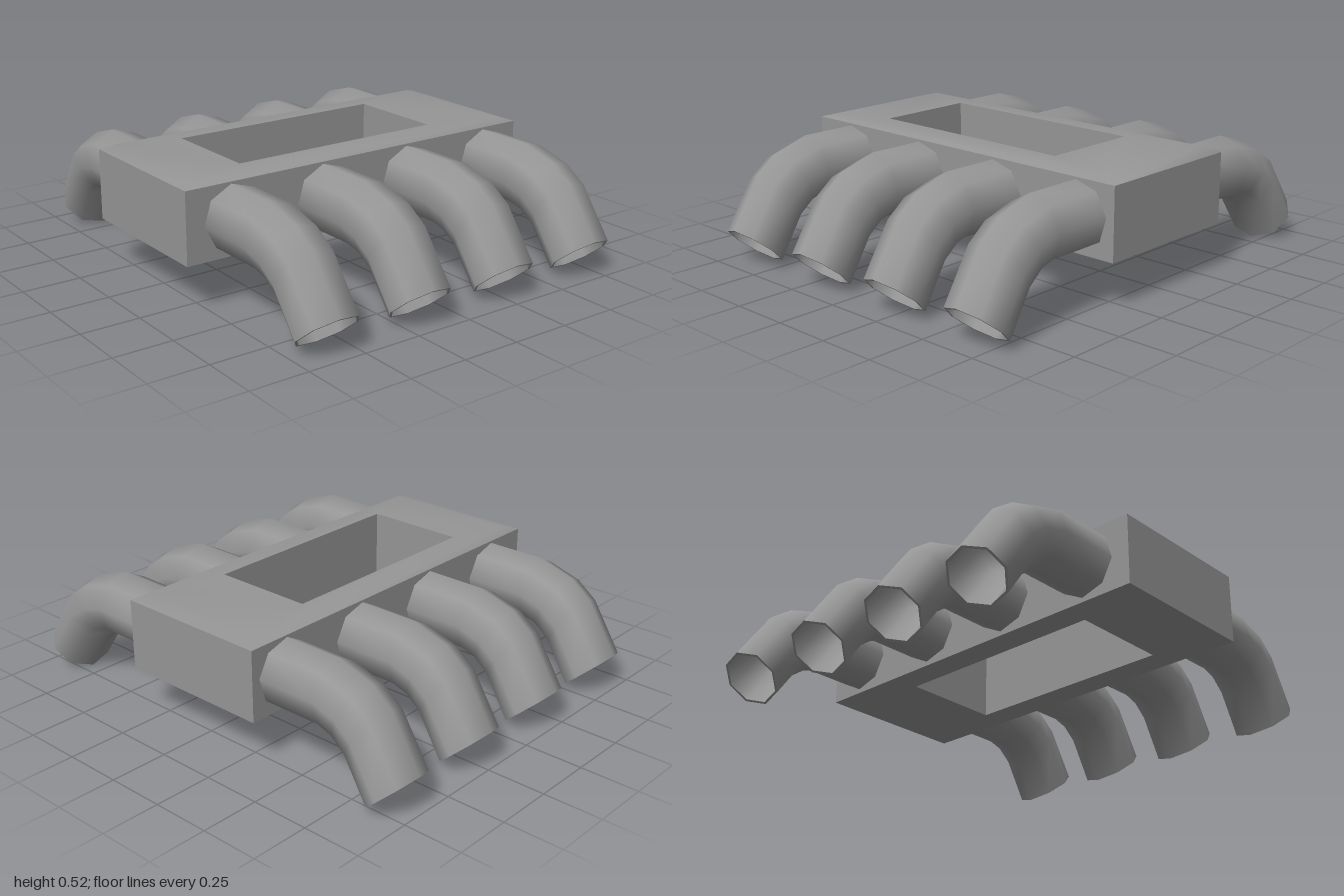
import * as THREE from 'three';
import { toCreasedNormals } from 'three/addons/utils/BufferGeometryUtils.js';

const material = new THREE.MeshStandardMaterial({ color: 0x969696 });

// Skin a sequence of equal-length closed rings of points
function loft(rings, crease) {
  const n = rings[0].length, index = [];
  for (let r = 0; r < rings.length - 1; r++) {
    for (let i = 0; i < n; i++) {
      const j = (i + 1) % n, a = r * n, b = a + n;
      index.push(a + i, a + j, b + j, a + i, b + j, b + i);
    }
  }
  const g = new THREE.BufferGeometry();
  g.setAttribute('position', new THREE.Float32BufferAttribute(rings.flat(2), 3));
  g.setIndex(index);
  return toCreasedNormals(g, crease);
}

const rect = (x0, x1, z, y) => [[x0, y, -z], [x0, y, z], [x1, y, z], [x1, y, -z]];

// Octagonal ring around a pipe station; the ring leans by `tilt` towards the ground
function pipeRing({ x, y, z, tilt, squash }, radius, side) {
  return Array.from({ length: 8 }, (_, i) => {
    const a = (i * Math.PI) / 4 + side * 0.1;
    const u = Math.cos(a) * radius, v = Math.sin(a) * radius * squash;
    return [side * x + u, y + v * Math.cos(tilt), z + v * Math.sin(tilt)];
  });
}

function runnerGeometry(side) {
  // Centre line: straight out of the body, then bending downwards
  const path = [
    { x: 0, y: 0.355, z: 0.3, tilt: 0, squash: 1 },
    { x: 0, y: 0.355, z: 0.6, tilt: 0, squash: 1 },
    { x: 0.003, y: 0.325, z: 0.705, tilt: 0.44, squash: 0.96 },
    { x: 0.008, y: 0.267, z: 0.785, tilt: 0.6, squash: 0.95 },
    { x: 0.018, y: 0.082, z: 0.91, tilt: 0.845, squash: 0.9 },
  ];
  const outer = path.map((p) => pipeRing(p, 0.137, side));
  const inner = path.map((p) => pipeRing(p, 0.126, side)).reverse();
  const cap = pipeRing(path[0], 0.0005, side);
  return loft([...outer, ...inner, cap], 1.0);
}

export function createModel() {
  const model = new THREE.Group();
  model.name = 'manifold';

  // Body with bevelled top and a rectangular opening right through it
  const body = new THREE.Mesh(loft([
    rect(-0.52, 0.443, 0.22, 0.2),
    rect(-0.84, 0.84, 0.341, 0.2),
    rect(-0.84, 0.84, 0.341, 0.5),
    rect(-0.77, 0.77, 0.305, 0.52),
    rect(-0.52, 0.443, 0.22, 0.52),
    rect(-0.52, 0.443, 0.22, 0.2),
  ], 0.7), material);
  body.name = 'body';
  body.position.z = 0.003;
  model.add(body);

  // Four hollow runners on the front and four on the back
  for (const side of [1, -1]) {
    const geometry = runnerGeometry(side);
    [-0.623, -0.191, 0.238, 0.667].forEach((x, i) => {
      const runner = new THREE.Mesh(geometry, material);
      runner.name = `${side > 0 ? 'front' : 'back'}Runner${i + 1}`;
      runner.position.x = x;
      if (side < 0) runner.rotation.y = Math.PI;
      model.add(runner);
    });
  }
  return model;
}
